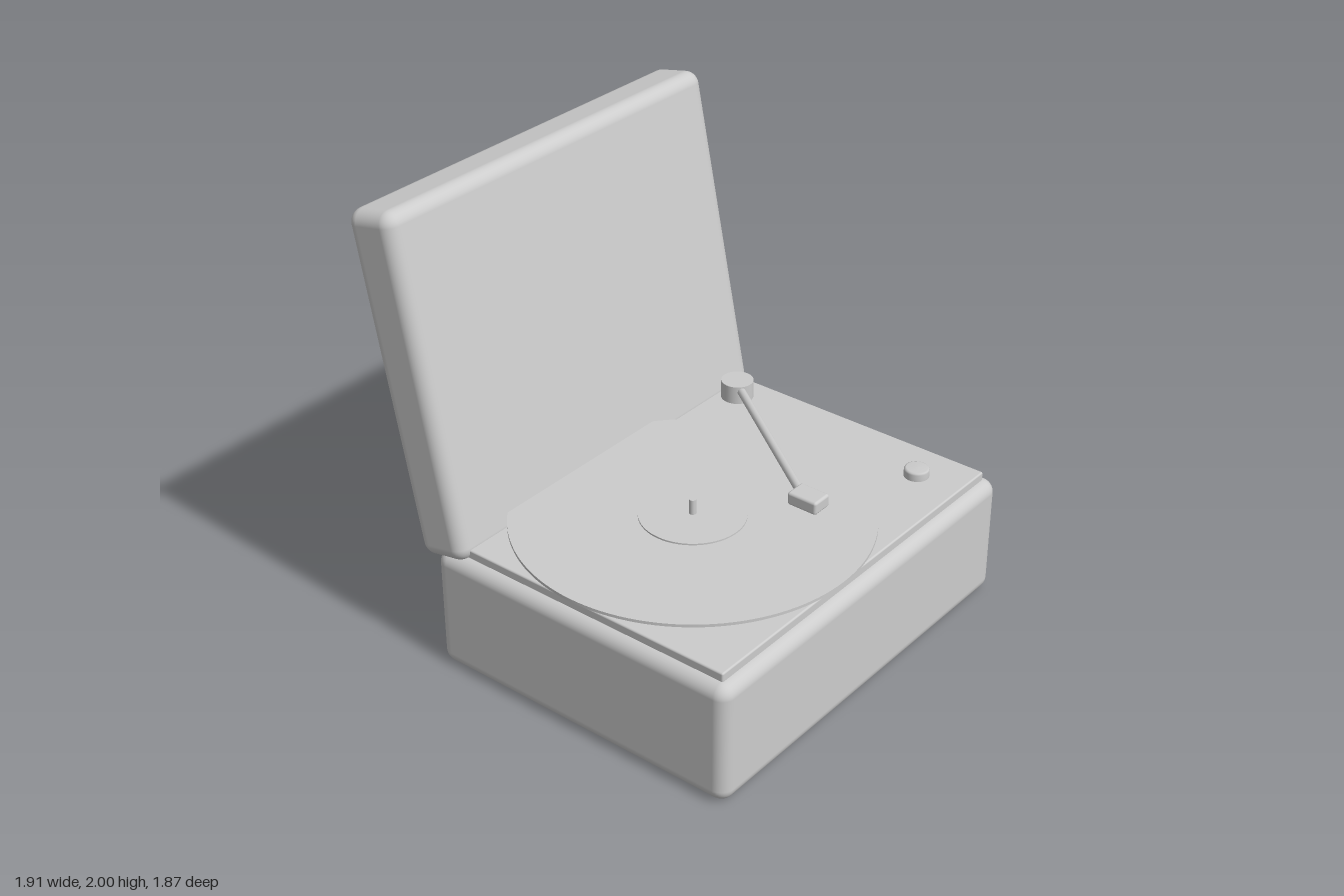
import * as THREE from 'three';
import { RoundedBoxGeometry } from 'three/addons/geometries/RoundedBoxGeometry.js';

export function createModel() {
  const model = new THREE.Group();
  model.name = 'recordPlayer';
  const grey = new THREE.MeshStandardMaterial({ color: 0xcccccc });
  grey.name = 'light grey';

  function add(name, geometry, x, y, z) {
    const mesh = new THREE.Mesh(geometry, grey);
    mesh.name = name;
    mesh.position.set(x, y, z);
    model.add(mesh);
    return mesh;
  }
  // Upright disc standing between two heights
  function disc(name, radius, y0, y1, x, z, sides = 64) {
    return add(name, new THREE.CylinderGeometry(radius, radius, y1 - y0, sides), x, (y0 + y1) / 2, z);
  }

  // Case, inset deck and the open, tilted lid
  add('case', new RoundedBoxGeometry(1.9, 0.555, 1.5, 5, 0.06), 0, 0.2775, 0.18);
  add('deck', new RoundedBoxGeometry(1.8, 0.06, 1.4, 2, 0.008), 0, 0.562, 0.18);
  const lid = add('lid', new RoundedBoxGeometry(1.9, 1.5, 0.25, 5, 0.06), 0, 1.2525, -0.6725);
  lid.rotation.x = -0.2;

  // Turntable
  const cx = -0.2, cz = 0.175;
  disc('platter', 0.675, 0.585, 0.637, cx, cz, 96);
  disc('record', 0.757, 0.637, 0.65, cx, cz, 128);
  disc('recordLabel', 0.225, 0.649, 0.657, cx, cz);
  disc('spindle', 0.015, 0.65, 0.725, cx, cz, 24);

  // Tonearm: pivot post, slanted tube and head
  disc('tonearmPivot', 0.073, 0.585, 0.677, 0.75, -0.33, 48);
  const from = new THREE.Vector3(0.74, 0.65, -0.316);
  const to = new THREE.Vector3(0.165, 0.678, 0.46);
  const arm = add('tonearm', new THREE.CylinderGeometry(0.019, 0.019, from.distanceTo(to), 16), 0, 0, 0);
  arm.position.copy(from).lerp(to, 0.5);
  arm.quaternion.setFromUnitVectors(new THREE.Vector3(0, 1, 0), to.clone().sub(from).normalize());
  add('tonearmHead', new RoundedBoxGeometry(0.1, 0.06, 0.145, 3, 0.012), 0.15, 0.68, 0.502);

  // Control knob with a softened rim
  const profile = [[0.055, 0], [0.055, 0.032], [0.052, 0.039], [0.045, 0.042], [0, 0.043]]
    .map(([r, y]) => new THREE.Vector2(r, y));
  add('controlKnob', new THREE.LatheGeometry(profile, 40), 0.7, 0.59, 0.672);

  return model;
}
